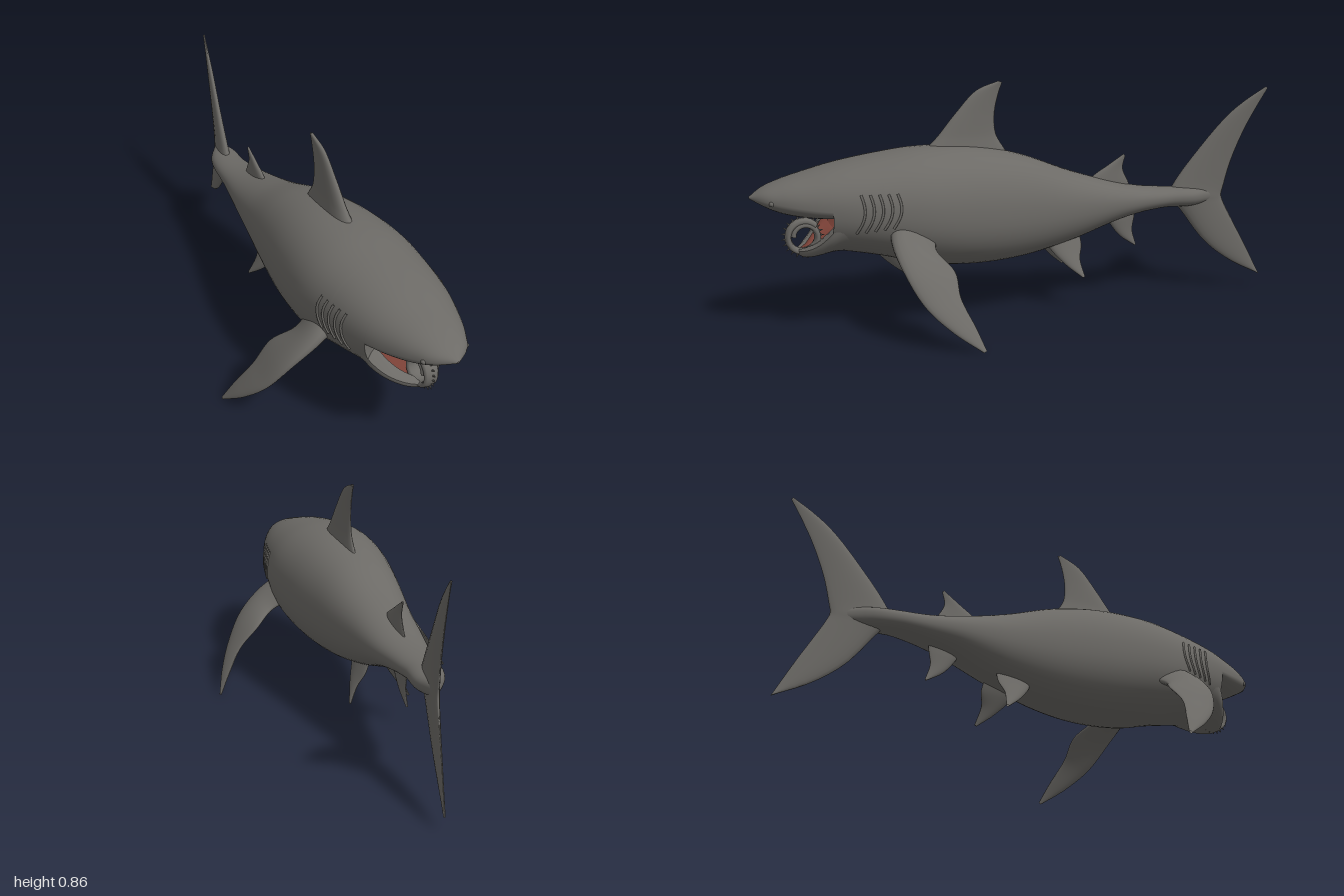
import * as THREE from 'three';

const mat = (name, color) =>
  new THREE.MeshStandardMaterial({ name, color, side: THREE.DoubleSide });
const V = (x, y, z) => new THREE.Vector3(x, y, z);

// Sideways sweep of the tail
const bend = (z) => (z < -0.6 ? 0.085 * Math.pow((-0.6 - z) / 0.4, 1.3) : 0);

// Smooth surface through rows of points; closed joins each row into a ring
function skin(rows, closed = true) {
  const n = rows[0].length, pos = [], idx = [];
  for (const row of rows) for (const p of row) pos.push(p.x + bend(p.z), p.y, p.z);
  for (let j = 0; j < rows.length - 1; j++) {
    for (let i = 0; i < (closed ? n : n - 1); i++) {
      const k = (i + 1) % n, a = j * n + i, b = j * n + k, c = a + n, d = b + n;
      idx.push(a, b, c, b, d, c);
    }
  }
  const g = new THREE.BufferGeometry();
  g.setAttribute('position', new THREE.Float32BufferAttribute(pos, 3));
  g.setIndex(idx);
  g.computeVertexNormals();
  return g;
}

const smooth = (table) => {
  const size = table[0].length - 1;
  const f = new THREE.CubicInterpolant(table.map((r) => r[0]), table.flatMap((r) => r.slice(1)), size);
  return (t) => Array.from(f.evaluate(t));
};

// Body sections: z, half width, top, widest height, bottom
const section = smooth([
  [-0.82, 0.003, 0.395, 0.385, 0.375], [-0.77, 0.022, 0.412, 0.385, 0.358],
  [-0.7, 0.055, 0.42, 0.385, 0.345], [-0.6, 0.066, 0.425, 0.385, 0.345],
  [-0.5, 0.08, 0.435, 0.385, 0.335], [-0.4, 0.1, 0.455, 0.385, 0.315],
  [-0.2, 0.135, 0.515, 0.385, 0.25], [0, 0.175, 0.59, 0.39, 0.205],
  [0.2, 0.212, 0.632, 0.4, 0.193], [0.4, 0.23, 0.638, 0.415, 0.215],
  [0.55, 0.215, 0.622, 0.43, 0.255], [0.7, 0.185, 0.597, 0.45, 0.285],
  [0.8, 0.152, 0.573, 0.46, 0.3], [0.9, 0.105, 0.545, 0.475, 0.3],
  [0.96, 0.062, 0.52, 0.485, 0.3], [1, 0.004, 0.493, 0.49, 0.3],
]);
// Underside of the upper jaw
const palate = smooth([[0.56, 0.4], [0.7, 0.408], [0.8, 0.414], [0.9, 0.435], [0.96, 0.463], [1, 0.487]]);
// Lower jaw: z, half width, rim height, bottom
const jawSection = smooth([
  [0.64, 0.19, 0.43, 0.275], [0.7, 0.175, 0.415, 0.283], [0.74, 0.155, 0.37, 0.28],
  [0.78, 0.115, 0.325, 0.27], [0.82, 0.06, 0.297, 0.265], [0.845, 0.012, 0.287, 0.277],
]);

const POWER = 2.2;
const spow = (v) => Math.sign(v) * Math.pow(Math.abs(v), 2 / POWER);
function ring(z, bottomAt) {
  const [w, top, mid, low] = section(z), bottom = bottomAt ? bottomAt(z)[0] : low;
  return Array.from({ length: 48 }, (_, i) => {
    const a = (i / 48) * Math.PI * 2, s = spow(Math.sin(a));
    return V(w * spow(Math.cos(a)), mid + s * (s > 0 ? top - mid : mid - bottom), z);
  });
}
const steps = (from, to, n) => Array.from({ length: n + 1 }, (_, i) => from + ((to - from) * i) / n);

// Side of the body at a given height and length
function sideX(y, z) {
  const [w, top, mid, low] = section(z);
  const t = Math.min(1, Math.abs(y - mid) / (y > mid ? top - mid : mid - low));
  return w * Math.pow(1 - Math.pow(t, POWER), 1 / POWER);
}

// Fin through stations [leading xyz, trailing xyz, half thickness]
function fin(stations, side = 1) {
  const line = (k) => new THREE.CatmullRomCurve3(stations.map((s) => V(s[k][0] * side, s[k][1], s[k][2])));
  const lead = line(0), trail = line(1), count = stations.length - 1;
  const middle = (t) => lead.getPoint(t).add(trail.getPoint(t)).multiplyScalar(0.5);
  return skin(steps(0, 1, 30).map((t) => {
    const L = lead.getPoint(t), chord = trail.getPoint(t).sub(L);
    const span = middle(Math.min(1, t + 0.02)).sub(middle(Math.max(0, t - 0.02)));
    const normal = chord.clone().cross(span).normalize();
    const i = Math.min(count - 1, Math.floor(t * count));
    const thick = THREE.MathUtils.lerp(stations[i][2], stations[i + 1][2], t * count - i);
    return steps(0, Math.PI * 2, 20).slice(0, 20).map((a) => {
      const c = (1 - Math.cos(a)) / 2;
      return L.clone().addScaledVector(chord, c)
        .addScaledVector(normal, Math.sin(a) * thick * (1.3 - 0.7 * c));
    });
  }));
}
// Fin standing on the centre plane: rows of lead z, lead y, trail z, trail y, half thickness
const flatFin = (rows) => fin(rows.map(([lz, ly, tz, ty, h]) => [[0, ly, lz], [0, ty, tz], h]));

export function createModel() {
  const model = new THREE.Group();
  const skinGrey = mat('skin grey', 0x6c6a66);
  const mouthRed = mat('mouth red', 0x783f35);
  const add = (name, geometry, material = skinGrey, parent = model) => {
    const m = new THREE.Mesh(geometry, material);
    m.name = name;
    parent.add(m);
    return m;
  };

  // Trunk, upper head, cheeks around the mouth opening, and throat
  const front = ring(0.735);
  const opening = front.map((_, i) => {
    const a = (i / 48) * Math.PI * 2;
    return V(0.122 * Math.cos(a), 0.405 + 0.1 * Math.sin(a), 0.72);
  });
  add('body', skin(steps(-0.82, 0.735, 70).map((z) => ring(z))));
  add('head', skin(steps(0.56, 1, 36).map((z) => ring(z, palate))));
  add('cheeks', skin([front, opening]));
  add('throat', skin([opening, opening.map(() => V(0, 0.38, 0.6))]), mouthRed);

  // Hollow lower jaw with a broad rounded lip
  const jawArc = (z, inset, drop) => {
    const [w, rim, bottom] = jawSection(z);
    const inner = Math.max(w - inset, w * 0.3);
    return steps(Math.PI, Math.PI * 2, 24).map((a) =>
      V(inner * spow(Math.cos(a)), rim + spow(Math.sin(a)) * (rim - bottom) * drop, z));
  };
  const jawZ = steps(0.64, 0.845, 22);
  add('lowerJaw', skin(jawZ.map((z) => jawArc(z, 0, 1)), false));
  add('mouthFloor', skin(jawZ.map((z) => jawArc(z, 0.055, 0.65)), false), mouthRed);
  for (const end of [0, 24]) {
    add('lip', skin(jawZ.map((z) => {
      const a = jawArc(z, 0, 1)[end], b = jawArc(z, 0.055, 0.65)[end];
      return [a, a.clone().lerp(b, 0.5).setY(a.y + 0.006), b];
    }), false));
  }

  // Spiral tooth whorl at the front of the lower jaw
  const whorl = new THREE.Group();
  whorl.name = 'toothWhorl';
  whorl.position.set(0, 0.337, 0.815);
  model.add(whorl);
  const spiral = (t) => {
    const a = -2.4 + t * 8.6, r = 0.056 - 0.03 * Math.max(0, t - 0.4);
    return V(0, -Math.sin(a) * r, Math.cos(a) * r);
  };
  const coil = new THREE.CatmullRomCurve3(steps(0, 1, 28).map(spiral));
  add('whorlBase', new THREE.TubeGeometry(coil, 80, 0.012, 8), skinGrey, whorl).scale.x = 2.4;
  for (const t of steps(0, 0.97, 30)) {
    const p = spiral(t), out = p.clone().normalize();
    const tooth = add('whorlTooth', new THREE.ConeGeometry(0.007, 0.024, 6), skinGrey, whorl);
    tooth.position.copy(p).addScaledVector(out, 0.014);
    tooth.quaternion.setFromUnitVectors(V(0, 1, 0), out);
  }

  // Fins on the centre line
  add('dorsalFin', flatFin([
    [0.42, 0.56, 0.03, 0.56, 0.038], [0.37, 0.62, 0.06, 0.61, 0.032], [0.32, 0.67, 0.095, 0.67, 0.023],
    [0.25, 0.753, 0.1, 0.75, 0.016], [0.17, 0.834, 0.083, 0.825, 0.01], [0.085, 0.866, 0.07, 0.86, 0.005]]));
  add('rearDorsalFin', flatFin([
    [-0.26, 0.43, -0.455, 0.43, 0.016], [-0.29, 0.48, -0.445, 0.458, 0.014],
    [-0.36, 0.525, -0.422, 0.51, 0.009], [-0.425, 0.565, -0.432, 0.558, 0.004]]));
  add('analFin', flatFin([
    [-0.34, 0.35, -0.48, 0.35, 0.015], [-0.37, 0.295, -0.475, 0.31, 0.013],
    [-0.415, 0.24, -0.468, 0.26, 0.009], [-0.478, 0.197, -0.485, 0.2, 0.004]]));
  add('tailFin', flatFin([
    [-0.993, 0.815, -1, 0.808, 0.004], [-0.92, 0.765, -0.96, 0.735, 0.007],
    [-0.85, 0.705, -0.915, 0.645, 0.011], [-0.745, 0.58, -0.867, 0.52, 0.015],
    [-0.64, 0.435, -0.842, 0.42, 0.021], [-0.62, 0.385, -0.835, 0.385, 0.026],
    [-0.66, 0.345, -0.842, 0.36, 0.021], [-0.77, 0.2, -0.885, 0.275, 0.014],
    [-0.877, 0.115, -0.935, 0.18, 0.009], [-0.99, 0.058, -0.996, 0.055, 0.004]]));

  for (const side of [1, -1]) {
    const label = side > 0 ? 'left' : 'right';
    // Paired fins
    add(label + 'PectoralFin', fin([
      [[0.15, 0.4, 0.53], [0.15, 0.35, 0.36], 0.04], [[0.235, 0.345, 0.548], [0.235, 0.305, 0.39], 0.03],
      [[0.33, 0.262, 0.53], [0.315, 0.245, 0.345], 0.02], [[0.4, 0.155, 0.475], [0.385, 0.17, 0.345], 0.014],
      [[0.45, 0.07, 0.39], [0.443, 0.08, 0.31], 0.01], [[0.486, 0.003, 0.296], [0.483, 0.008, 0.285], 0.004]], side));
    add(label + 'PelvicFin', fin([
      [[0.035, 0.3, -0.07], [0.035, 0.3, -0.22], 0.02], [[0.06, 0.235, -0.095], [0.06, 0.235, -0.228], 0.016],
      [[0.09, 0.17, -0.15], [0.085, 0.185, -0.213], 0.01], [[0.116, 0.118, -0.213], [0.115, 0.122, -0.222], 0.004]], side));

    // Five curved gill ridges
    for (let i = 0; i < 5; i++) {
      const path = steps(0, 1, 8).map((t) => {
        const y = 0.51 - t * (0.135 - 0.004 * i);
        const z = 0.65 - 0.031 * i + 0.018 * (t - 0.5) - 0.018 * Math.sin(t * Math.PI);
        return V(side * (sideX(y, z) + 0.001), y, z);
      });
      add(label + 'GillRidge', new THREE.TubeGeometry(new THREE.CatmullRomCurve3(path), 16, 0.0045, 6));
    }

    // Small eye set into the side of the snout
    const eye = add(label + 'Eye', new THREE.SphereGeometry(0.01, 12, 8));
    eye.position.set(side * (sideX(0.478, 0.93) - 0.006), 0.478, 0.93);
  }
  return model;
}
